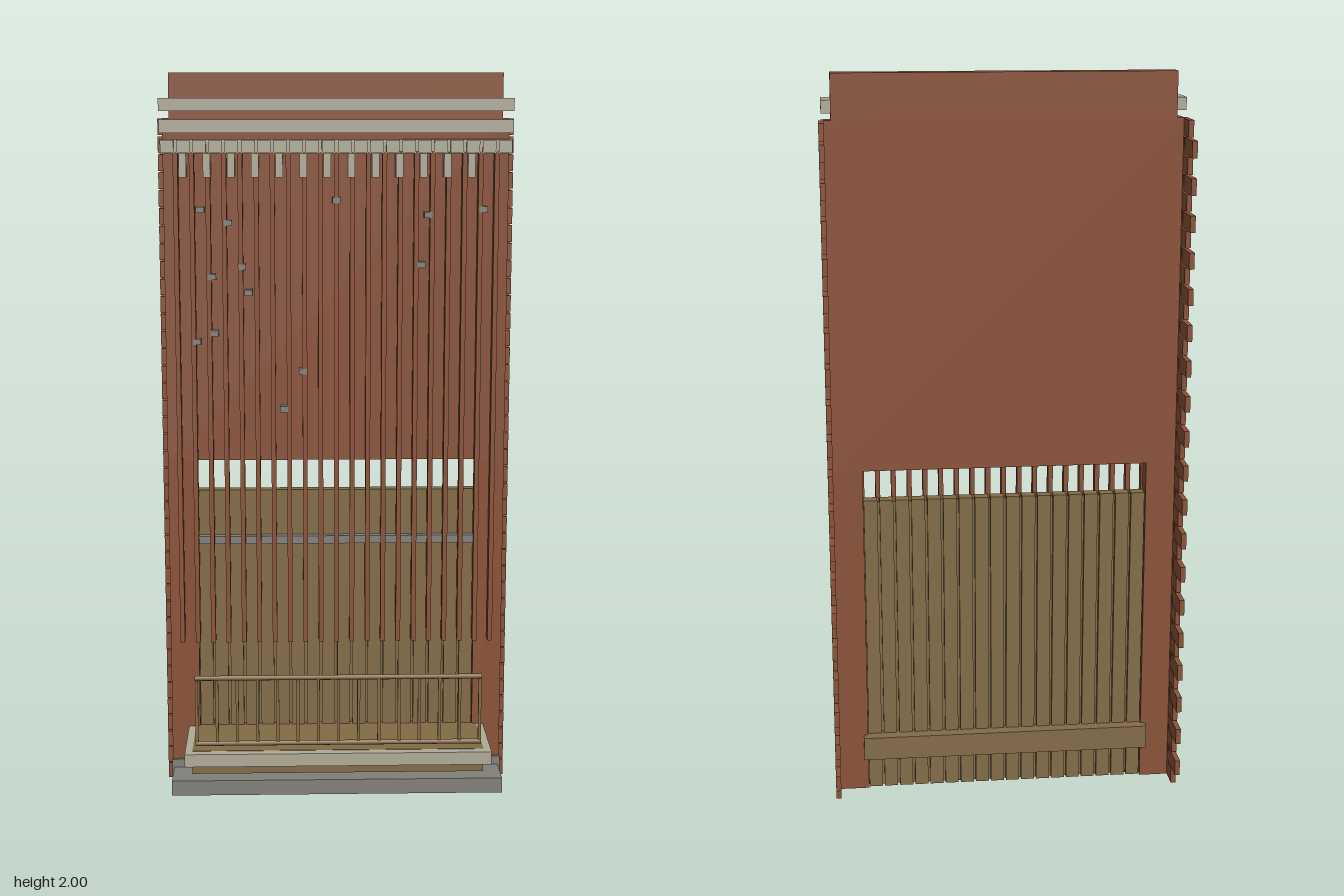
import * as THREE from 'three';

const paint = (name, color) => {
  const m = new THREE.MeshStandardMaterial({ color });
  m.name = name;
  return m;
};

export function createModel() {
  const brick = paint('brick red', 0x8a5238);
  const wood = paint('olive wood', 0x836c48);
  const stone = paint('pale stone', 0xb0ab98);
  const slate = paint('dark stone', 0x82807a);
  const model = new THREE.Group();
  model.name = 'balconyFacade';

  const group = (name) => {
    const g = new THREE.Group();
    g.name = name;
    model.add(g);
    return g;
  };
  // Box given by its lower and upper limits on each axis
  const box = (parent, name, mat, x0, x1, y0, y1, z0, z1) => {
    const mesh = new THREE.Mesh(new THREE.BoxGeometry(x1 - x0, y1 - y0, z1 - z0), mat);
    mesh.position.set((x0 + x1) / 2, (y0 + y1) / 2, (z0 + z1) / 2);
    mesh.name = name;
    parent.add(mesh);
  };
  const pitch = 0.0435;

  // Wall around the tall opening, and the parapet above
  const wall = group('wall');
  box(wall, 'upperWall', brick, -0.47, 0.47, 0.94, 1.88, -0.085, -0.036);
  for (const s of [-1, 1]) {
    const [a, b] = [0.39 * s, 0.47 * s].sort((p, q) => p - q);
    box(wall, 'sideWall', brick, a, b, 0, 0.94, -0.085, -0.036);
  }
  box(wall, 'parapet', brick, -0.452, 0.452, 1.88, 2, -0.085, -0.036);

  // Toothed brick returns on both sides
  const returns = group('brickReturns');
  const course = 1.88 / 39;
  for (const s of [-1, 1]) {
    const [a, b] = [0.47 * s, 0.484 * s].sort((p, q) => p - q);
    for (let i = 0; i < 39; i++) {
      const y0 = i * course + 0.002, y1 = (i + 1) * course - 0.002;
      if (i % 2) {
        box(returns, 'halfBrick', brick, a, b, y0, y1, -0.099, -0.054);
        box(returns, 'longBrick', brick, a, b, y0, y1, -0.199, -0.103);
      } else {
        box(returns, 'shortBrick', brick, a, b, y0, y1, -0.147, -0.054);
      }
    }
  }

  // Vertical ribs down the front
  const ribs = group('ribs');
  for (let i = -10; i <= 10; i++) {
    const x = i * pitch;
    box(ribs, 'rib', brick, x - 0.0065, x + 0.0065, 0.42, 1.79, -0.037, -0.008);
  }

  // Boarded screen filling the opening
  const screen = group('screen');
  box(screen, 'screenPanel', wood, -0.39, 0.39, 0, 0.845, -0.063, -0.057);
  for (let i = 0; i < 18; i++) {
    const x = (i - 8.5) * pitch;
    box(screen, 'board', wood, x - 0.0185, x + 0.0185, 0, 0.853, -0.077, -0.043);
    box(screen, 'screenClip', slate, x - 0.0152, x + 0.0152, 0.703, 0.725, -0.044, -0.02);
  }

  // Cornice mouldings, dentils and hanging brackets
  const cornice = group('cornice');
  box(cornice, 'topMoulding', stone, -0.477, 0.477, 1.898, 1.932, -0.079, 0.011);
  box(cornice, 'middleMoulding', stone, -0.477, 0.477, 1.84, 1.876, -0.052, 0.004);
  box(cornice, 'lowerMoulding', stone, -0.477, 0.477, 1.785, 1.823, -0.052, -0.011);
  for (let i = 0; i < 22; i++) {
    const x = (i - 10.5) * pitch;
    box(cornice, 'dentil', stone, x - 0.018, x + 0.018, 1.787, 1.821, -0.012, -0.005);
  }
  for (let i = 0; i < 13; i++) {
    const x = -0.415 + i * 0.065;
    box(cornice, 'bracket', stone, x - 0.01, x + 0.01, 1.722, 1.786, -0.037, 0.005);
  }

  // Small loose stones set between the ribs
  const studs = group('studs');
  const spots = [[-0.37, 1.635], [-0.295, 1.6], [-0.34, 1.453], [-0.258, 1.48], [-0.24, 1.41],
    [-0.335, 1.298], [-0.383, 1.275], [-0.092, 1.192], [-0.145, 1.087], [0, 1.66],
    [0.25, 1.62], [0.232, 1.485], [0.4, 1.635]];
  for (const [x, y] of spots) {
    box(studs, 'stud', slate, x - 0.011, x + 0.011, y - 0.008, y + 0.008, -0.037, -0.007);
  }

  // Plinth and front step
  const base = group('base');
  box(base, 'step', slate, -0.466, 0.466, 0, 0.043, -0.036, 0.083);
  box(base, 'plinth', slate, -0.472, 0.472, 0, 0.066, -0.04, -0.028);

  // Balcony floor running through the wall, with a stone border
  const balcony = group('balcony');
  box(balcony, 'floor', wood, -0.402, 0.402, 0.098, 0.164, -0.11, 0.171);
  box(balcony, 'frontBorder', stone, -0.422, 0.422, 0.127, 0.163, 0.17, 0.197);
  box(balcony, 'rightBorder', stone, -0.422, -0.4, 0.127, 0.163, -0.036, 0.172);
  box(balcony, 'leftBorder', stone, 0.4, 0.422, 0.127, 0.163, -0.036, 0.172);

  // Balustrade
  const railing = group('railing');
  for (const y of [0.194, 0.38]) {
    const rail = new THREE.Mesh(new THREE.CylinderGeometry(0.007, 0.007, 0.784, 8), wood);
    rail.rotation.z = Math.PI / 2;
    rail.position.set(0, y, 0.194);
    rail.name = 'rail';
    railing.add(rail);
  }
  for (let i = 0; i < 15; i++) {
    const x = -0.387 + (i * 0.774) / 14;
    box(railing, 'baluster', wood, x - 0.004, x + 0.004, 0.19, 0.384, 0.19, 0.198);
  }
  return model;
}
